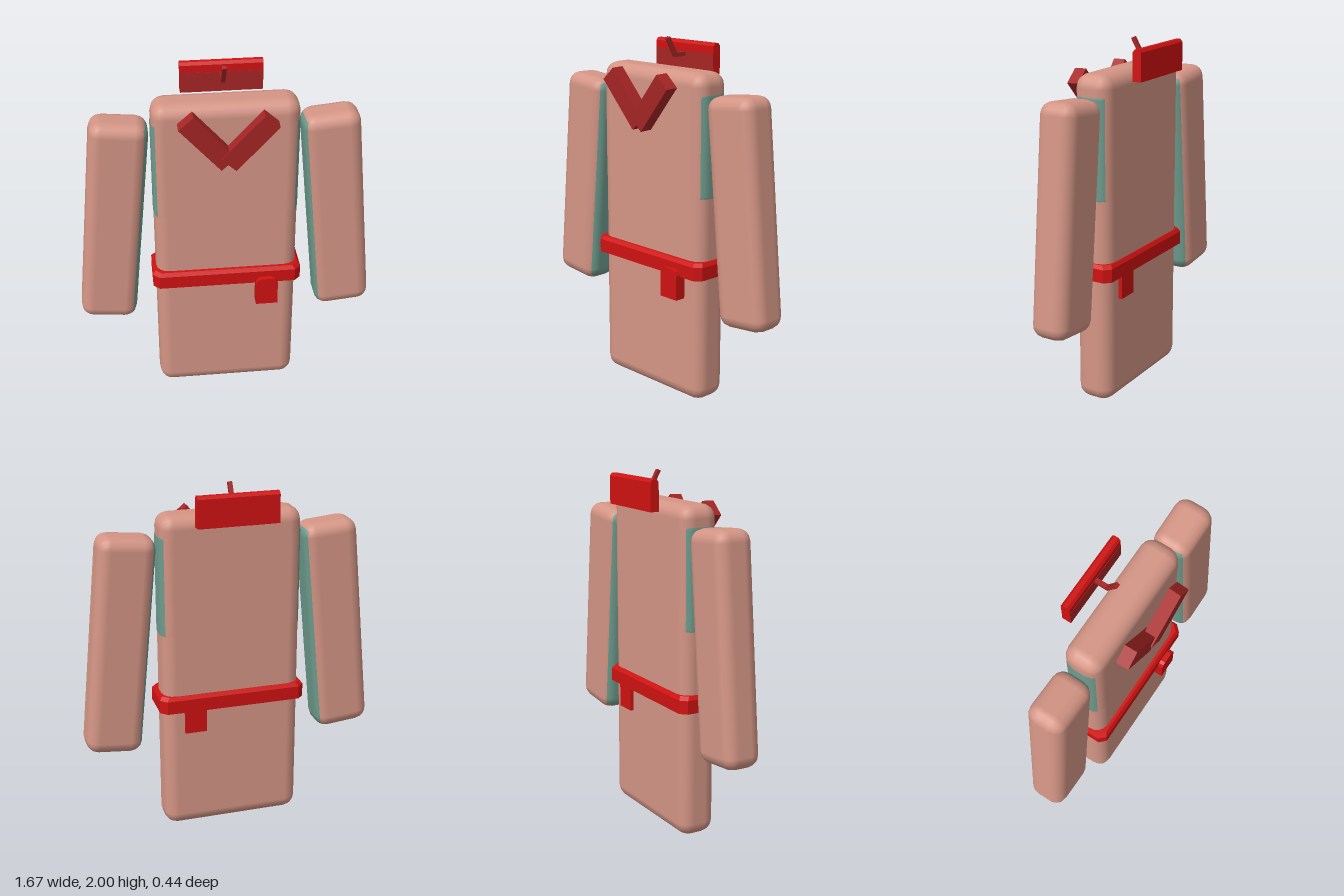
import * as THREE from 'three';
import { RoundedBoxGeometry } from 'three/addons/geometries/RoundedBoxGeometry.js';

const mat = (name, color) => {
  const m = new THREE.MeshStandardMaterial({ color });
  m.name = name;
  return m;
};

// Outline from points, extruded by depth along z
function prism(points, depth, steps = 1) {
  const shape = new THREE.Shape(points.map(([x, y]) => new THREE.Vector2(x, y)));
  return new THREE.ExtrudeGeometry(shape, { depth, steps, bevelEnabled: false });
}

// Rectangle with all four corners cut
function cutRect(w, h, c) {
  return [[-w + c, -h], [w - c, -h], [w, -h + c], [w, h - c],
    [w - c, h], [-w + c, h], [-w, h - c], [-w, -h + c]];
}

export function createModel() {
  const cloth = mat('rose cloth', 0xd49585);
  const lining = mat('teal lining', 0x6f9c8e);
  const red = mat('red trim', 0xd01212);
  const darkRed = mat('dark red trim', 0xa62525);
  const model = new THREE.Group();
  model.name = 'robedFigure';

  const add = (name, geometry, material, x = 0, y = 0, z = 0) => {
    const mesh = new THREE.Mesh(geometry, material);
    mesh.name = name;
    mesh.position.set(x, y, z);
    model.add(mesh);
    return mesh;
  };
  // Box materials in the order +x, -x, +y, -y, +z, -z
  const sides = (plusX, minusX) => [plusX, minusX, cloth, cloth, cloth, cloth];

  // Body with tinted patches beside the arms
  const bodyZ = -0.006;
  add('body', new RoundedBoxGeometry(0.796, 1.845, 0.218, 2, 0.075), cloth, 0, 0.9225, bodyZ);
  add('sidePatches', new RoundedBoxGeometry(0.802, 0.68, 0.217, 2, 0.075),
    sides(lining, lining), 0, 1.45, bodyZ);

  // Sleeves, tinted on the inside
  for (const s of [1, -1]) {
    const arm = add(s > 0 ? 'leftArm' : 'rightArm', new RoundedBoxGeometry(0.318, 1.24, 0.218, 2, 0.07),
      s > 0 ? sides(cloth, lining) : sides(lining, cloth), s * 0.623, 1.128, bodyZ);
    arm.rotation.z = s * 0.097;
  }

  // Belt: cut corners in plan, sloped upper edge
  const belt = prism(cutRect(0.42, 0.135, 0.035), 0.095, 2);
  const p = belt.attributes.position;
  for (let i = 0; i < p.count; i++) {
    const z = p.getZ(i);
    if (z > 0.09) p.setXY(i, p.getX(i) - Math.sign(p.getX(i)) * 0.015, p.getY(i) - Math.sign(p.getY(i)) * 0.015);
    else if (z > 0.01) p.setZ(i, 0.075);
  }
  belt.rotateX(-Math.PI / 2);
  belt.computeVertexNormals();
  add('belt', belt, red, 0, 0.73, 0);

  // Belt tab, hanging at front and back
  add('beltTab', prism([[-0.062, 0], [0.062, 0], [0.062, 0.14], [0.05, 0.161], [0.032, 0.17],
    [-0.032, 0.17], [-0.05, 0.161], [-0.062, 0.14]], 0.3), red, 0.222, 0.6, -0.135);

  // Crossed collar bands
  for (const s of [1, -1]) {
    const band = add(s > 0 ? 'leftCollar' : 'rightCollar', new THREE.BoxGeometry(0.106, 0.34, 0.072),
      darkRed, s * 0.1125, 1.6725, s > 0 ? 0.172 : 0.157);
    band.rotation.order = 'ZXY';
    band.rotation.set(s > 0 ? 0.06 : 0.035, 0, -s * 0.722);
  }

  // Plate behind the neck, with cut upper edges and a dark lower front
  const plate = prism([[-0.025, 0], [0.025, 0], [0.025, 0.155], [0.012, 0.17], [-0.012, 0.17], [-0.025, 0.155]], 0.45);
  plate.rotateY(Math.PI / 2);
  add('neckPlate', plate, red, -0.225, 1.8, -0.192);
  add('neckPlateFront', new THREE.BoxGeometry(0.448, 0.112, 0.004), darkRed, 0, 1.857, -0.167);

  // Bent pin: straight stem, then a slanted tip
  const pin = prism([[-0.175, 1.885], [-0.09, 1.885], [-0.03, 1.99], [-0.047, 2.0],
    [-0.1, 1.908], [-0.175, 1.908]], 0.024);
  pin.rotateY(-Math.PI / 2);
  add('pin', pin, darkRed, 0.012, 0, 0);

  return model;
}
